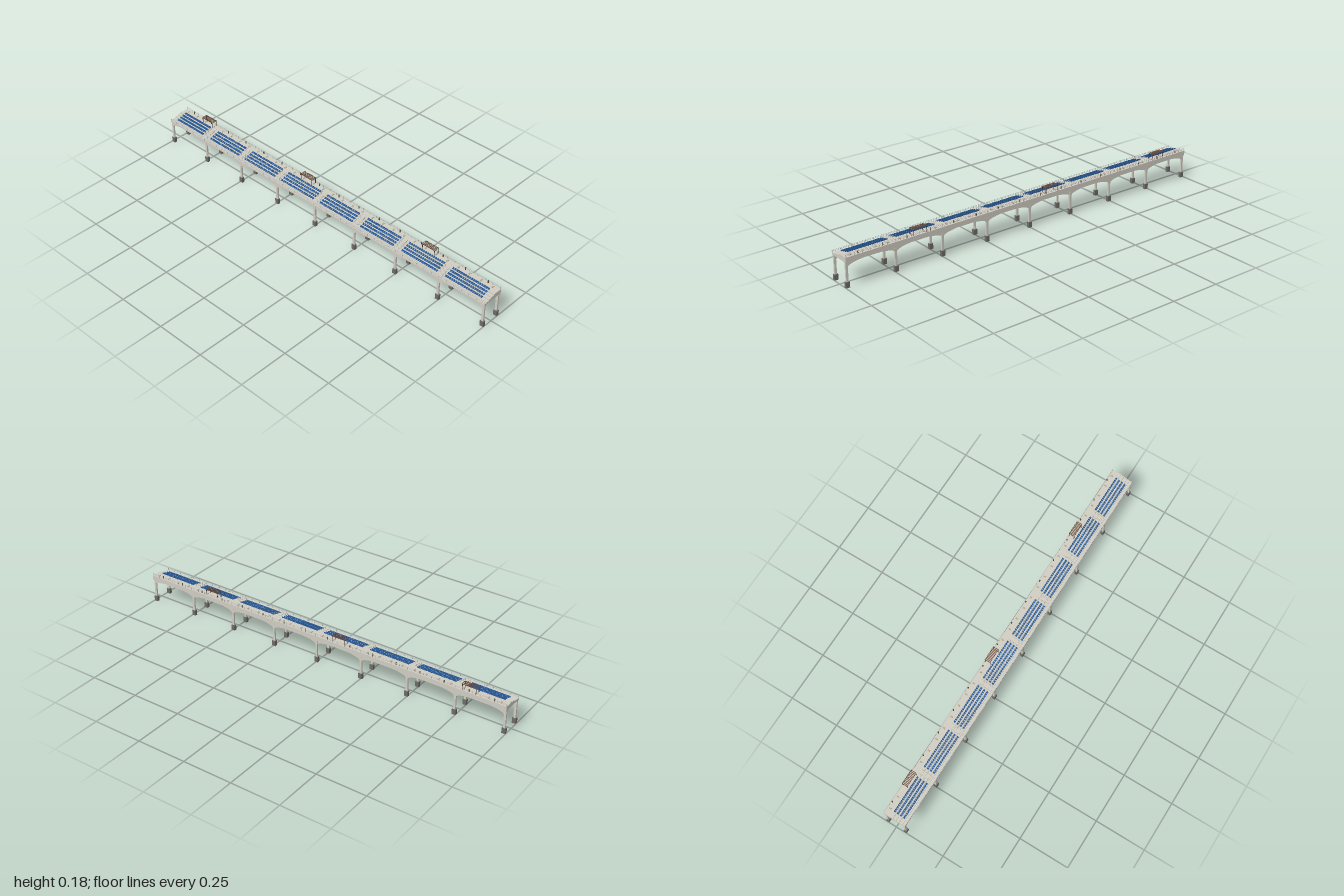
import * as THREE from 'three';
import { mergeGeometries } from 'three/addons/utils/BufferGeometryUtils.js';

const paint = (color) => new THREE.MeshStandardMaterial({ color, flatShading: true });
const concrete = paint(0xd0cdc2), footingGrey = paint(0x6c6b66), seatBlue = paint(0x2c5f9e);
const steel = paint(0xb4b6b6), timber = paint(0x6b4a3a), darkSteel = paint(0x3a3734);
const leaf = paint(0x3f5a34), clay = paint(0x70382c), benchWood = paint(0xb9a78c);

// Box given by its size and centre
function box(w, h, d, x, y, z) {
  return new THREE.BoxGeometry(w, h, d).translate(x, y, z);
}

// Square bar between two points
function bar(a, b, t) {
  const p = new THREE.Vector3(...a), q = new THREE.Vector3(...b);
  const dir = q.clone().sub(p);
  const g = new THREE.BoxGeometry(t, dir.length(), t);
  g.applyQuaternion(new THREE.Quaternion().setFromUnitVectors(new THREE.Vector3(0, 1, 0), dir.normalize()));
  const mid = p.add(q).multiplyScalar(0.5);
  return g.translate(mid.x, mid.y, mid.z);
}

function part(name, geometries, material) {
  const mesh = new THREE.Mesh(mergeGeometries(geometries), material);
  mesh.name = name;
  return mesh;
}

const COLUMN_X = [-0.048, 0.046];
const SPAN = 0.2475;
const END = 0.997;
const STEPS = [0.131, 0.136, 0.14, 0.145];
const STEP_X = -0.041, STEP_DEPTH = 0.016;
const BLOCKS = [[-0.97, -0.78], [-0.73, -0.525], [-0.485, -0.275], [-0.237, -0.022],
  [0.015, 0.222], [0.268, 0.47], [0.515, 0.722], [0.763, 0.967]];
const SHELTERS = [-0.812, -0.127, 0.618];

// Deck, terraces and promenade as one stepped section
function createDeck() {
  const s = new THREE.Shape();
  s.moveTo(-0.056, 0.12);
  s.lineTo(0.056, 0.12);
  s.lineTo(0.056, 0.144);
  s.lineTo(STEP_X + 4 * STEP_DEPTH, 0.144);
  for (let i = 3; i >= 0; i--) {
    s.lineTo(STEP_X + (i + 1) * STEP_DEPTH, STEPS[i]);
    s.lineTo(STEP_X + i * STEP_DEPTH, STEPS[i]);
  }
  s.lineTo(STEP_X, 0.128);
  s.lineTo(-0.056, 0.128);
  s.closePath();
  const g = new THREE.ExtrudeGeometry(s, { depth: 2 * END, bevelEnabled: false });
  return part('steppedDeck', [g.translate(0, 0, -END)], concrete);
}

// Arched spandrel beams spanning from column to column
function createArches() {
  const list = [];
  for (const x of COLUMN_X) {
    for (let i = 0; i < 8; i++) {
      const s = new THREE.Shape();
      s.moveTo(0, 0.121);
      s.lineTo(0, 0.092);
      for (let k = 1; k <= 18; k++) {
        const u = -1 + k / 9;
        s.lineTo((k / 18) * SPAN, 0.092 + 0.026 * Math.sqrt(Math.max(0, 1 - u * u)));
      }
      s.lineTo(SPAN, 0.121);
      s.closePath();
      const g = new THREE.ExtrudeGeometry(s, { depth: 0.007, bevelEnabled: false });
      list.push(g.rotateY(-Math.PI / 2).translate(x + 0.0035, 0, -0.99 + i * SPAN));
    }
  }
  return part('arches', list, concrete);
}

function createColumns() {
  const shafts = [], feet = [];
  for (const x of COLUMN_X) {
    for (let i = 0; i <= 8; i++) {
      const z = -0.99 + i * SPAN;
      shafts.push(box(0.008, 0.096, 0.011, x, 0.072, z));
      shafts.push(box(0.011, 0.006, 0.014, x, 0.118, z));
      feet.push(box(0.014, 0.027, 0.019, x, 0.0135, z));
    }
  }
  const g = new THREE.Group();
  g.name = 'columns';
  g.add(part('columnShafts', shafts, concrete), part('columnFootings', feet, footingGrey));
  return g;
}

// Four rows of seats in each block, facing -x
function createSeats() {
  const list = [];
  for (const [z0, z1] of BLOCKS) {
    const n = 18, pitch = (z1 - z0) / n;
    STEPS.forEach((y, r) => {
      const x = STEP_X + (r + 0.5) * STEP_DEPTH;
      for (let i = 0; i < n; i++) {
        const z = z0 + (i + 0.5) * pitch;
        list.push(box(0.007, 0.0014, 0.0088, x, y + 0.0035, z));
        list.push(box(0.0014, 0.0065, 0.0088, x + 0.0036, y + 0.0062, z));
        list.push(box(0.002, 0.003, 0.003, x, y + 0.0015, z));
      }
    });
  }
  return part('seats', list, seatBlue);
}

// Half steps and sloping handrails in the aisles
function createAisles() {
  const treads = [], rails = [];
  for (let i = 0; i < 7; i++) {
    const z = (BLOCKS[i][1] + BLOCKS[i + 1][0]) / 2;
    STEPS.forEach((y, r) => {
      treads.push(box(0.006, 0.0025, 0.018, STEP_X + r * STEP_DEPTH - 0.003, y - 0.0035, z));
    });
    for (const dz of [-0.012, 0.012]) {
      rails.push(bar([STEP_X + 0.002, 0.141, z + dz], [0.022, 0.155, z + dz], 0.001));
      STEPS.forEach((y, r) => {
        const x = STEP_X + 0.003 + r * STEP_DEPTH;
        rails.push(bar([x, y, z + dz], [x, y + 0.01, z + dz], 0.001));
      });
    }
  }
  const g = new THREE.Group();
  g.name = 'aisles';
  g.add(part('aisleSteps', treads, concrete), part('aisleHandrails', rails, steel));
  return g;
}

// Long railings on both edges
function createRailings() {
  const list = [];
  for (const [x, y, h] of [[-0.0555, 0.128, 0.01], [0.0545, 0.144, 0.012]]) {
    for (const f of [0.5, 1]) list.push(box(0.001, 0.001, 2 * END, x, y + h * f, 0));
    for (let i = 0; i <= 48; i++) {
      list.push(box(0.0013, h, 0.0016, x, y + h / 2, -0.995 + (i * 1.99) / 48));
    }
  }
  return part('railings', list, steel);
}

// Timber pergola on four posts
function createShelter(z) {
  const posts = [], slats = [];
  for (const x of [0.027, 0.053]) {
    for (const dz of [-0.034, 0.034]) posts.push(box(0.0018, 0.03, 0.0022, x, 0.159, z + dz));
    slats.push(box(0.0018, 0.002, 0.074, x, 0.1738, z));
  }
  for (let i = 0; i < 12; i++) {
    slats.push(box(0.03, 0.0016, 0.0028, 0.04, 0.1756, z - 0.036 + (i * 0.072) / 11));
  }
  const g = new THREE.Group();
  g.name = 'shelter';
  g.add(part('shelterPosts', posts, darkSteel), part('shelterSlats', slats, timber));
  return g;
}

// Benches and planted pots along the promenade
function createFurniture() {
  const benches = [], pots = [], shrubs = [];
  for (let i = 0; i < 32; i++) {
    const z = -0.965 + (i * 1.93) / 31;
    benches.push(box(0.012, 0.001, 0.007, 0.041, 0.148, z));
    for (const dx of [-0.005, 0.005]) benches.push(box(0.001, 0.0035, 0.006, 0.041 + dx, 0.14575, z));
    if (i % 2 === 0) {
      const pz = z + 0.03;
      pots.push(new THREE.CylinderGeometry(0.003, 0.0022, 0.006, 8).translate(0.05, 0.147, pz));
      shrubs.push(new THREE.IcosahedronGeometry(0.0036, 0).scale(1, 1.4, 1).translate(0.05, 0.154, pz));
    }
  }
  const g = new THREE.Group();
  g.name = 'promenadeFurniture';
  g.add(part('benches', benches, benchWood), part('pots', pots, clay), part('shrubs', shrubs, leaf));
  return g;
}

export function createModel() {
  const model = new THREE.Group();
  model.name = 'elevatedGrandstand';
  model.add(createDeck(), createArches(), createColumns(), createSeats(), createAisles(),
    createRailings(), createFurniture());
  for (const z of SHELTERS) model.add(createShelter(z));
  return model;
}
